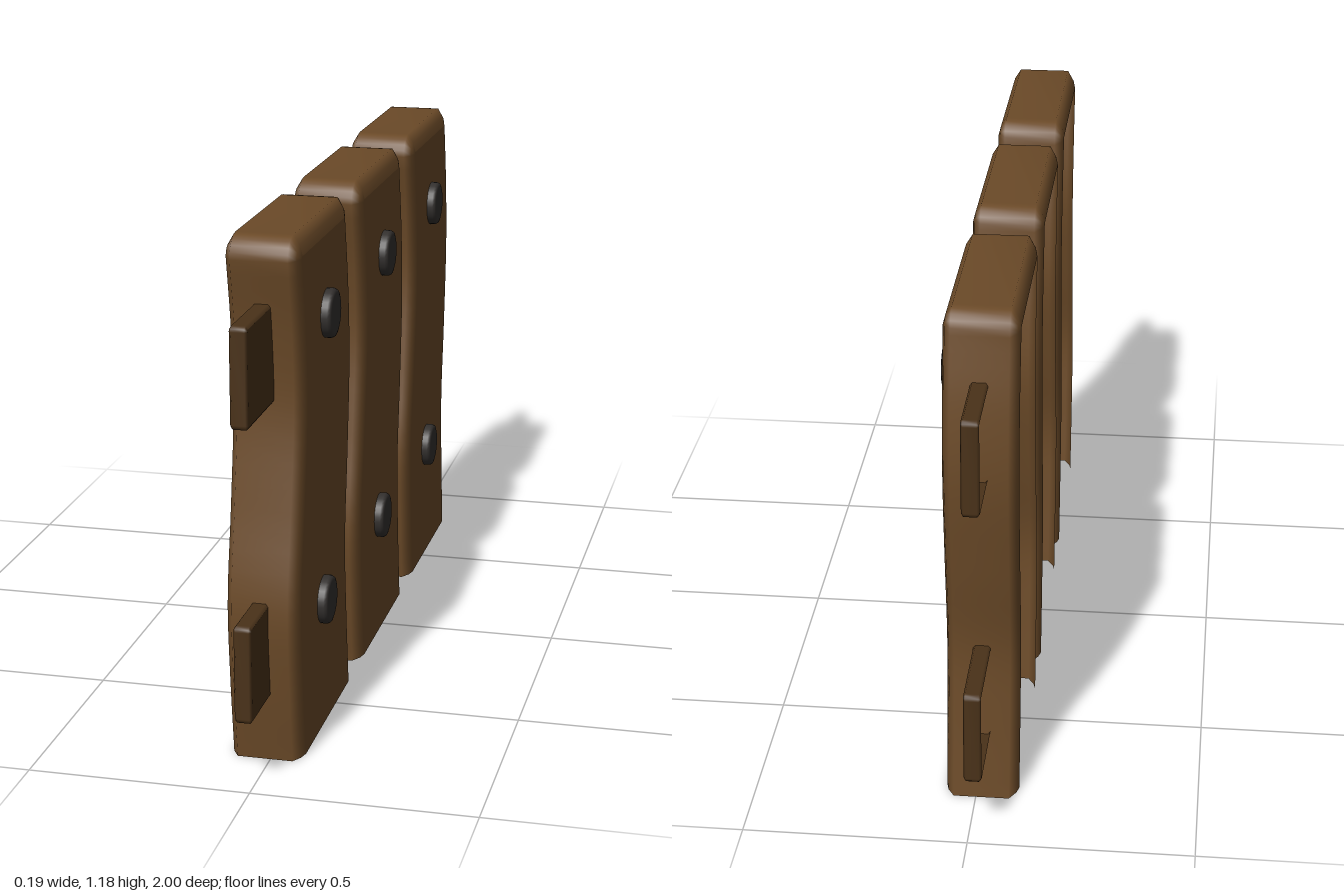
import * as THREE from 'three';

const wood = new THREE.MeshStandardMaterial({ color: 0x6b4a28, side: THREE.DoubleSide });
const darkWood = new THREE.MeshStandardMaterial({ color: 0x4a3219, side: THREE.DoubleSide });
const iron = new THREE.MeshStandardMaterial({ color: 0x33302e, side: THREE.DoubleSide });

// Rounded corner in the (z, y) plane, from angle a0 to a1
function corner(z, y, r, a0, a1, steps) {
  return Array.from({ length: steps + 1 }, (_, i) => {
    const a = a0 + (a1 - a0) * i / steps;
    return [z + r * Math.cos(a), y + r * Math.sin(a)];
  });
}

// Lofts an outline through [x, inset] steps and caps its +x side; the back stays open.
// outline(inset) runs up the +z side, over the top and down the -z side.
function shell(steps, outline, closed) {
  const pos = [], index = [];
  let n = 0;
  for (const [x, inset] of steps) {
    const points = outline(inset);
    n = points.length;
    for (const [z, y] of points) pos.push(x, y, z);
  }
  for (let s = 0; s < steps.length - 1; s++) {
    for (let i = 0; i < (closed ? n : n - 1); i++) {
      const j = (i + 1) % n;
      const a = s * n + i, b = s * n + j, c = a + n, d = b + n;
      index.push(a, c, b, b, c, d);
    }
  }
  // Front cap joins opposite points of the last ring
  const o = (steps.length - 1) * n;
  for (let i = 0; i < n / 2 - 1; i++) {
    const l0 = o + i, l1 = l0 + 1, r0 = o + n - 1 - i, r1 = r0 - 1;
    index.push(r0, r1, l0, l0, r1, l1);
  }
  const geo = new THREE.BufferGeometry();
  geo.setAttribute('position', new THREE.Float32BufferAttribute(pos, 3));
  geo.setIndex(index);
  geo.computeVertexNormals();
  return geo;
}

// Wavy plank: height, sideways shift and half width along its length
const wave = new THREE.CatmullRomCurve3([
  [0, 0, 0.25], [0.18, 0.022, 0.25], [0.37, 0.034, 0.249], [0.58, 0.002, 0.243],
  [0.8, -0.024, 0.238], [0.97, -0.012, 0.238], [1.13, 0.018, 0.238],
].map(p => new THREE.Vector3(...p))).getPoints(28);

function plankOutline(inset) {
  const R = 0.05, top = wave[wave.length - 1], r = R - inset;
  const side = sign => [
    ...wave.slice(0, -1).map(p => [p.y + sign * (p.z - inset), p.x]),
    ...corner(top.y + sign * (top.z - R), top.x, r,
      sign > 0 ? 0 : Math.PI, Math.PI / 2, 5),
  ];
  return [...side(1), ...side(-1).reverse()];
}

// Straight rail with slightly rounded corners
function railOutline(inset) {
  const R = 0.012, z = 1 - R, y = 0.111 - R, r = R - inset, q = Math.PI / 2;
  const half = [...corner(z, -y, r, -q, 0, 3), ...corner(z, y, r, 0, q, 3)];
  return [...half, ...half.map(([pz, py]) => [-pz, py]).reverse()];
}

export function createModel() {
  const model = new THREE.Group();
  const add = (name, geo, mat, x, y, z) => {
    const mesh = new THREE.Mesh(geo, mat);
    mesh.name = name;
    mesh.position.set(x, y, z);
    model.add(mesh);
  };

  const plankGeo = shell([
    [-0.095, 0.045], [-0.09, 0.025], [-0.075, 0],
    [0.05, 0], [0.064, 0.022], [0.07, 0.045],
  ], plankOutline, false);
  const railGeo = shell([
    [-0.032, 0.007], [-0.027, 0], [0.002, 0], [0.007, 0.007],
  ], railOutline, true);

  // Bolt head, turned around the x axis
  const boltGeo = new THREE.LatheGeometry([
    [0.055, 0], [0.055, 0.026], [0.052, 0.032], [0.045, 0.034], [0, 0.034],
  ].map(p => new THREE.Vector2(...p)), 28);
  boltGeo.rotateZ(-Math.PI / 2);

  // Three planks, each with two bolts
  for (const i of [-1, 0, 1]) {
    const z = i * 0.577;
    add('plank', plankGeo, wood, 0, 0, z);
    add('upperBolt', boltGeo, iron, 0.058, 0.96, z);
    add('lowerBolt', boltGeo, iron, 0.058, 0.306, z + 0.042);
  }

  // Two rails running through the planks
  add('lowerRail', railGeo, darkWood, 0, 0.269, 0);
  add('upperRail', railGeo, darkWood, 0, 0.923, 0);
  return model;
}
